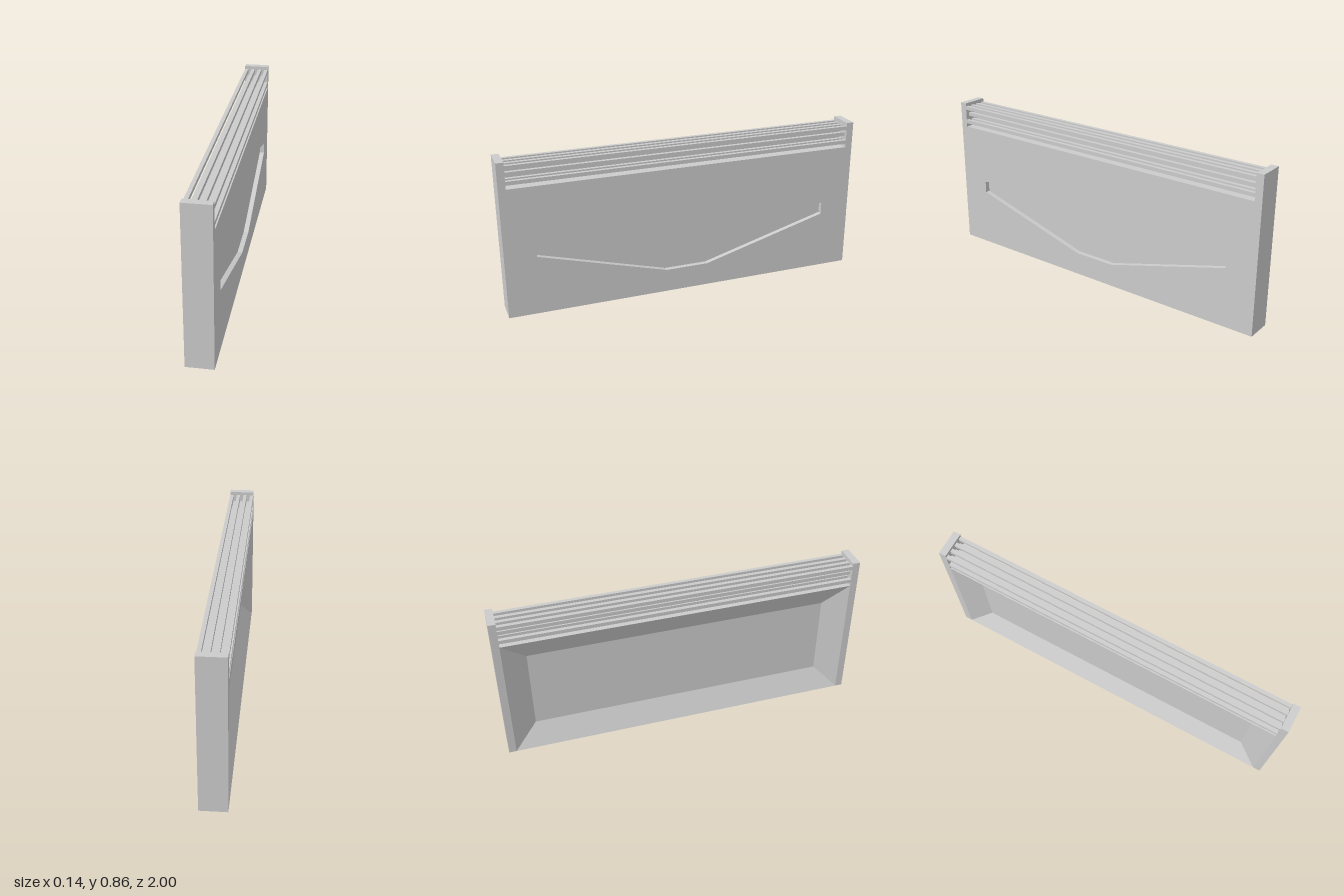
import * as THREE from 'three';
import { mergeGeometries } from 'three/addons/utils/BufferGeometryUtils.js';

const HALF = 0.072;        // half thickness of the panel
const TOP = 0.862;         // post height
const LEDGE = 0.72;        // height of the panel between the posts
const INNER = 0.96;        // inner face of the posts
const RECESS = 0.045;      // x of the octagonal recess floor
const TRAY = -0.009;       // x of the tapered tray floor
const SLAT = (2 * HALF) / 7;

// Profiles are [u, y] loops, counter-clockwise seen from +x, with u = -z.
const rect = (u0, y0, u1, y1) => [[u0, y0], [u1, y0], [u1, y1], [u0, y1]];
const vectors = (loop) => loop.map(([u, y]) => new THREE.Vector2(u, y));

// Flat face at a given x, looking towards +x or -x.
function face(loop, x, dir = 1, hole = null) {
  const shape = new THREE.Shape(vectors(loop));
  if (hole) shape.holes.push(new THREE.Path(vectors(hole)));
  return new THREE.ShapeGeometry(shape)
    .rotateY(dir * Math.PI / 2)
    .translate(x, 0, 0)
    .toNonIndexed();
}

// Walls joining two loops of equal length at two x positions.
function walls(loopA, xa, loopB, xb) {
  const pos = [], uv = [];
  const point = (loop, i, x) => {
    const [u, y] = loop[i % loop.length];
    return [x, y, -u];
  };
  for (let i = 0; i < loopA.length; i++) {
    const a0 = point(loopA, i, xa), a1 = point(loopA, i + 1, xa);
    const b0 = point(loopB, i, xb), b1 = point(loopB, i + 1, xb);
    pos.push(...a0, ...b0, ...b1, ...a0, ...b1, ...a1);
    uv.push(0, 0, 1, 0, 1, 1, 0, 0, 1, 1, 0, 1);
  }
  const geo = new THREE.BufferGeometry();
  geo.setAttribute('position', new THREE.Float32BufferAttribute(pos, 3));
  geo.setAttribute('uv', new THREE.Float32BufferAttribute(uv, 2));
  geo.computeVertexNormals();
  return geo;
}

export function createModel() {
  const group = new THREE.Group();
  const material = new THREE.MeshStandardMaterial({ color: 0xcccccc, flatShading: true });
  const add = (name, geometry, parent = group) => {
    const mesh = new THREE.Mesh(geometry, material);
    mesh.name = name;
    parent.add(mesh);
    return mesh;
  };

  const outline = [
    [-1, 0], [1, 0], [1, TOP], [INNER, TOP],
    [INNER, LEDGE], [-INNER, LEDGE], [-INNER, TOP], [-1, TOP],
  ];
  const octagon = [
    [-0.12, 0.13], [0.12, 0.13], [0.83, 0.33], [0.83, 0.395],
    [0.12, 0.59], [-0.12, 0.59], [-0.83, 0.395], [-0.83, 0.33],
  ];
  const trayRim = rect(-INNER, 0, INNER, LEDGE);
  const trayFloor = rect(-0.83, 0.13, 0.83, 0.59);

  // Panel with its two end posts
  add('panel', mergeGeometries([
    face(outline, HALF, 1, octagon),
    walls(outline, HALF, outline, -HALF),
    face(rect(-1, 0, -INNER, TOP), -HALF, -1),
    face(rect(INNER, 0, 1, TOP), -HALF, -1),
  ]));

  // Shallow octagonal recess on the left side
  add('octagonRecess', mergeGeometries([
    walls(octagon, RECESS, octagon, HALF),
    face(octagon, RECESS),
  ]));

  // Tapered tray hollowed into the right side
  add('taperedTray', mergeGeometries([
    walls(trayRim, -HALF, trayFloor, TRAY),
    face(trayFloor, TRAY, -1),
  ]));

  // Three staggered rows of slats between the posts: four, three, four
  const slats = new THREE.Group();
  slats.name = 'slats';
  group.add(slats);
  const slatGeometry = new THREE.BoxGeometry(SLAT, SLAT, 2 * INNER);
  [4, 3, 4].forEach((count, row) => {
    for (let i = 0; i < count; i++) {
      const slat = add('slat', slatGeometry, slats);
      slat.position.set((i - (count - 1) / 2) * 2 * SLAT, LEDGE + SLAT * (1.5 + 2 * row), 0);
    }
  });

  return group;
}
